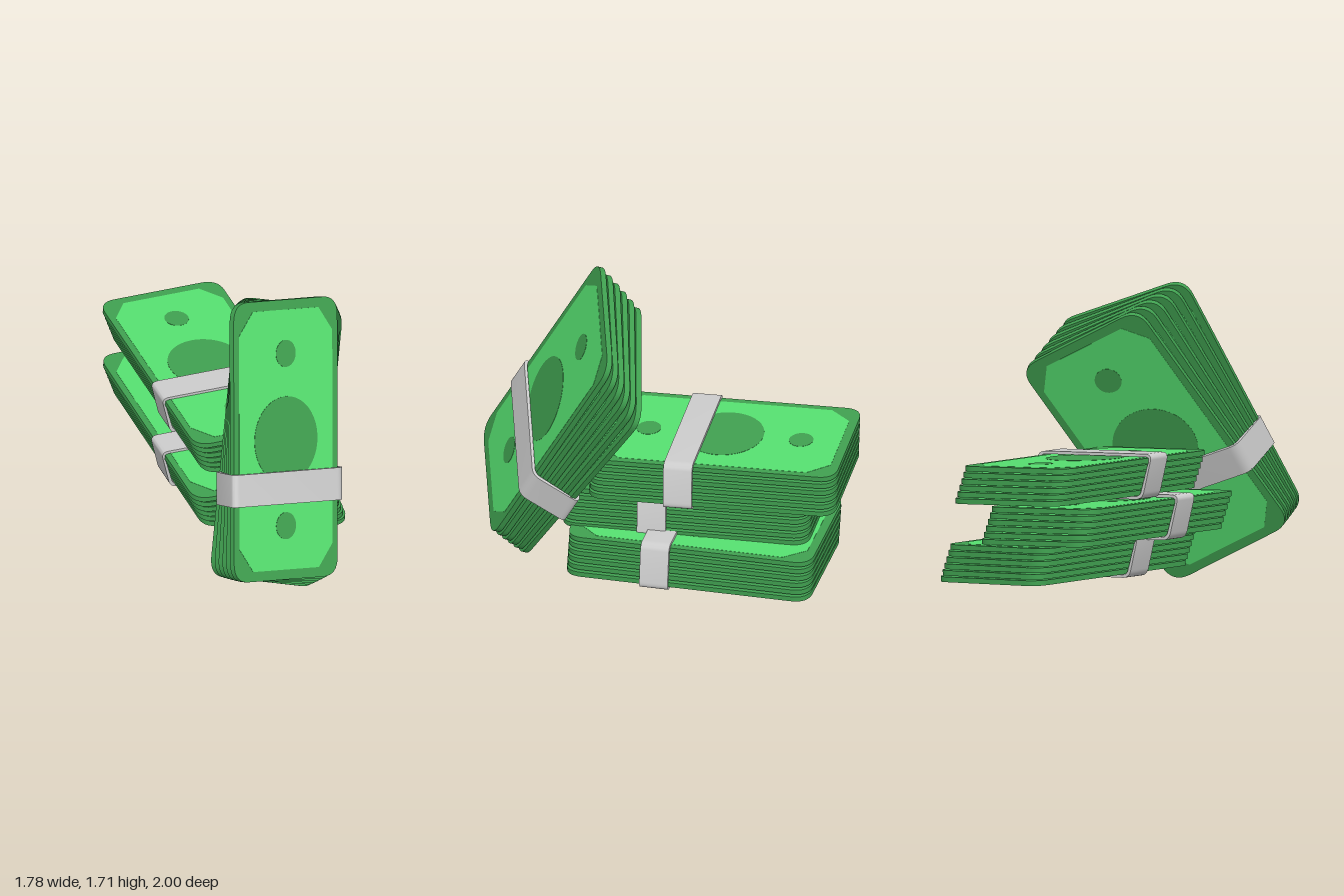
import * as THREE from 'three';
import { toCreasedNormals } from 'three/addons/utils/BufferGeometryUtils.js';

const WIDTH = 0.79, LENGTH = 1.55, THICK = 0.032, PITCH = 0.04, COUNT = 6;

const borderMat = new THREE.MeshStandardMaterial({ color: 0x40a050 });
const panelMat = new THREE.MeshStandardMaterial({ color: 0x56e070 });
const bandMat = new THREE.MeshStandardMaterial({ color: 0xcccccc });

// Closed outline through the corner points, each corner rounded by radius r
function roundedPath(points, r, PathType = THREE.Shape) {
  const v = points.map(([x, y]) => new THREE.Vector2(x, y));
  const path = new PathType();
  v.forEach((p, i) => {
    const prev = v[(i + v.length - 1) % v.length], next = v[(i + 1) % v.length];
    const a = prev.clone().sub(p).setLength(r).add(p);
    const b = next.clone().sub(p).setLength(r).add(p);
    if (i === 0) path.moveTo(a.x, a.y); else path.lineTo(a.x, a.y);
    path.quadraticCurveTo(p.x, p.y, b.x, b.y);
  });
  path.closePath();
  return path;
}

// Extrusion centred on z = 0, smooth around its rounded corners
function slab(shape, depth) {
  const geo = new THREE.ExtrudeGeometry(shape, { depth, bevelEnabled: false, curveSegments: 8 });
  geo.translate(0, 0, -depth / 2);
  return toCreasedNormals(geo, 0.6);
}

function mesh(name, geo, mat) {
  const m = new THREE.Mesh(geo, mat);
  m.name = name;
  return m;
}

const rect = (w, h) => [[-w, -h], [w, -h], [w, h], [-w, h]];
const noteGeo = slab(roundedPath(rect(WIDTH / 2, LENGTH / 2), 0.11), THICK);

// Printed panel with cut corners, showing on both faces of the note
const px = 0.355, py = 0.72, cx = 0.25, cy = 0.59;
const panelGeo = slab(new THREE.Shape([
  [-cx, -py], [cx, -py], [px, -cy], [px, cy], [cx, py], [-cx, py], [-px, cy], [-px, -cy],
].map(([x, y]) => new THREE.Vector2(x, y))), THICK + 0.003);

const disc = (r) => new THREE.CylinderGeometry(r, r, THICK + 0.006, 40).rotateX(Math.PI / 2);
const medallionGeo = disc(0.24), dotGeo = disc(0.075);

// One banknote lying in the xy plane, long side along y
function makeNote() {
  const note = new THREE.Group();
  note.name = 'note';
  note.add(mesh('noteBorder', noteGeo, borderMat), mesh('notePanel', panelGeo, panelMat));
  note.add(mesh('medallion', medallionGeo, borderMat));
  for (const s of [-1, 1]) {
    const dot = mesh('smallDisc', dotGeo, borderMat);
    dot.position.y = s * 0.477;
    note.add(dot);
  }
  return note;
}

// Paper strap: a slanted rounded loop round the stack
function makeBand(shear, y) {
  const loop = (grow) => {
    const half = WIDTH / 2 + 0.008 + grow;
    const top = THICK / 2 + 0.006 + grow;
    const bottom = -(COUNT - 1) * PITCH - top;
    return [[shear - half, bottom], [shear + half, bottom], [half, top], [-half, top]];
  };
  const shape = roundedPath(loop(0.018), 0.05);
  shape.holes.push(roundedPath(loop(0), 0.035, THREE.Path));
  const band = mesh('band', slab(shape, 0.18).rotateX(Math.PI / 2), bandMat);
  band.position.y = y;
  return band;
}

// A strapped stack: `face` is the centre of the first note's outer face,
// `along` the direction of its long side, `slide` and `turn` the spread to the last note
function makeBundle({ name, face, normal, along, scale, slide, turn, bandShear, bandY }) {
  const bundle = new THREE.Group();
  bundle.name = name;
  for (let i = 0; i < COUNT; i++) {
    const t = i / (COUNT - 1);
    const note = makeNote();
    note.position.set(slide[0] * t, slide[1] * t, -i * PITCH);
    note.rotation.z = -turn * t;
    bundle.add(note);
  }
  bundle.add(makeBand(bandShear, bandY));

  const n = new THREE.Vector3(...normal).normalize();
  const l = new THREE.Vector3(...along);
  l.addScaledVector(n, -l.dot(n)).normalize();
  const w = new THREE.Vector3().crossVectors(l, n);
  bundle.quaternion.setFromRotationMatrix(new THREE.Matrix4().makeBasis(w, l, n));
  bundle.scale.setScalar(scale);
  bundle.position.set(...face).addScaledVector(n, -scale * THICK / 2);
  return bundle;
}

export function createModel() {
  const model = new THREE.Group();
  model.name = 'moneyStacks';

  // Three bundles piled flat
  const flat = { scale: 0.905, slide: [0.08, 0], turn: 0, bandShear: 0.08, bandY: -0.2 };
  model.add(
    makeBundle({ ...flat, name: 'bottomBundle', face: [0.22, 0.368, -0.115],
      normal: [0.031, 1, 0.049], along: [0.47, 0, -0.883] }),
    makeBundle({ ...flat, name: 'middleBundle', face: [0.0, 0.583, -0.13],
      normal: [0.034, 1, 0.061], along: [0.43, 0, -0.903] }),
    makeBundle({ ...flat, name: 'topBundle', face: [0.13, 0.824, -0.247],
      normal: [0.034, 1, 0.061], along: [0.425, 0, -0.905] }),
  );

  // Fanned bundle leaning against the pile
  model.add(makeBundle({
    name: 'leaningBundle', face: [-0.253, 0.948, 0.685], normal: [0, 0.371, 0.928],
    along: [0.378, 0.859, -0.343], scale: 1, slide: [0.135, -0.033], turn: 0.138,
    bandShear: 0.12, bandY: -0.265,
  }));
  return model;
}
